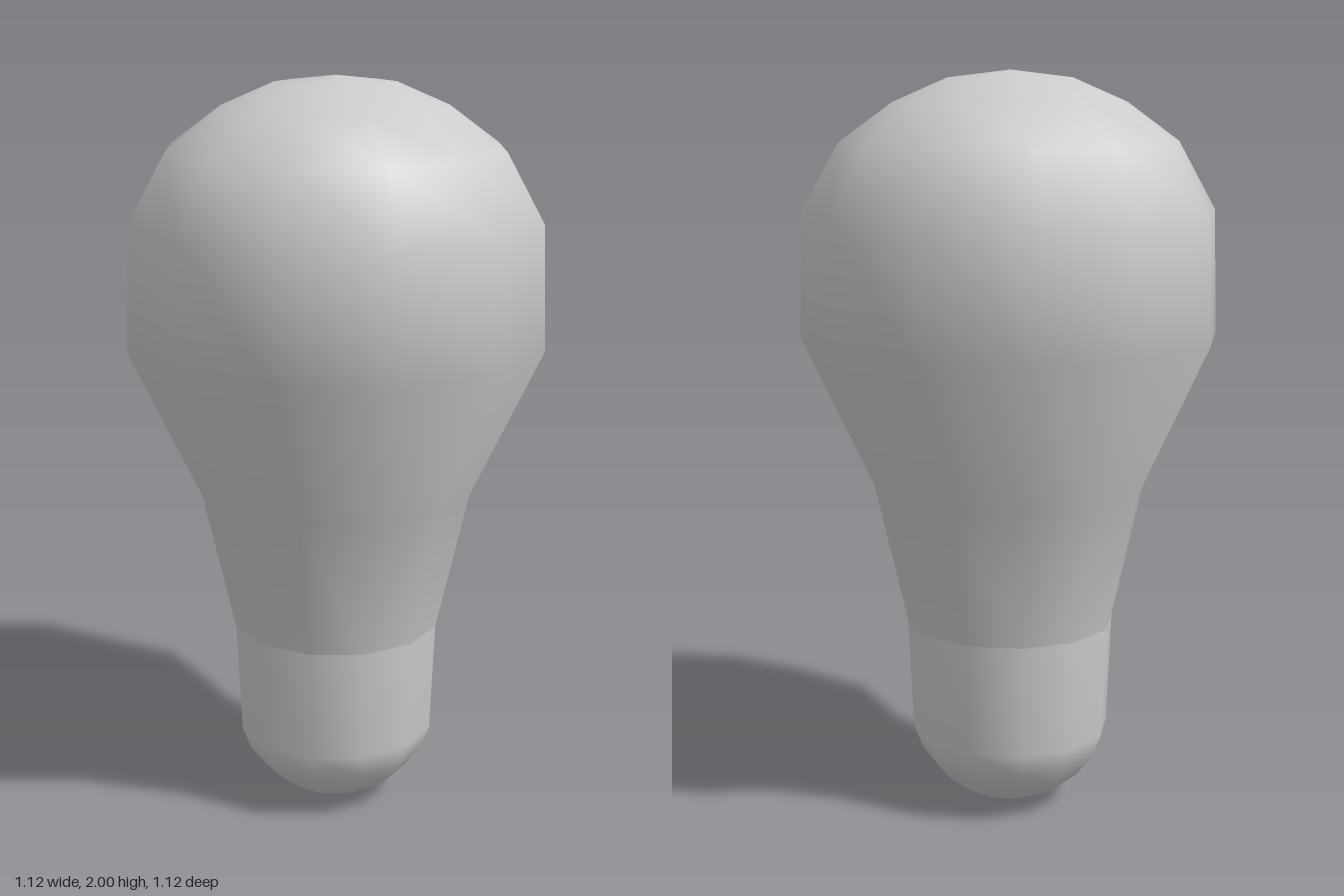
import * as THREE from 'three';

const SIDES = 12;

// Revolves a [radius, height] profile, listed from bottom to top.
function turned(name, profile, material) {
  const points = profile.map(([r, y]) => new THREE.Vector2(r, y));
  const mesh = new THREE.Mesh(new THREE.LatheGeometry(points, SIDES), material);
  mesh.name = name;
  return mesh;
}

export function createModel() {
  const group = new THREE.Group();
  group.name = 'lightBulb';
  const material = new THREE.MeshStandardMaterial({ color: 0xcccccc });

  // Rounded base, slightly tapered
  group.add(turned('base', [
    [0, 0], [0.07, 0.01], [0.14, 0.04], [0.2, 0.087],
    [0.245, 0.145], [0.27, 0.21], [0.283, 0.515],
  ], material));

  // Glass: flared neck and domed top
  group.add(turned('glass', [
    [0.283, 0.515], [0.37, 0.9], [0.56, 1.305], [0.55, 1.635],
    [0.45, 1.815], [0.31, 1.917], [0.165, 1.98], [0, 2],
  ], material));

  return group;
}
